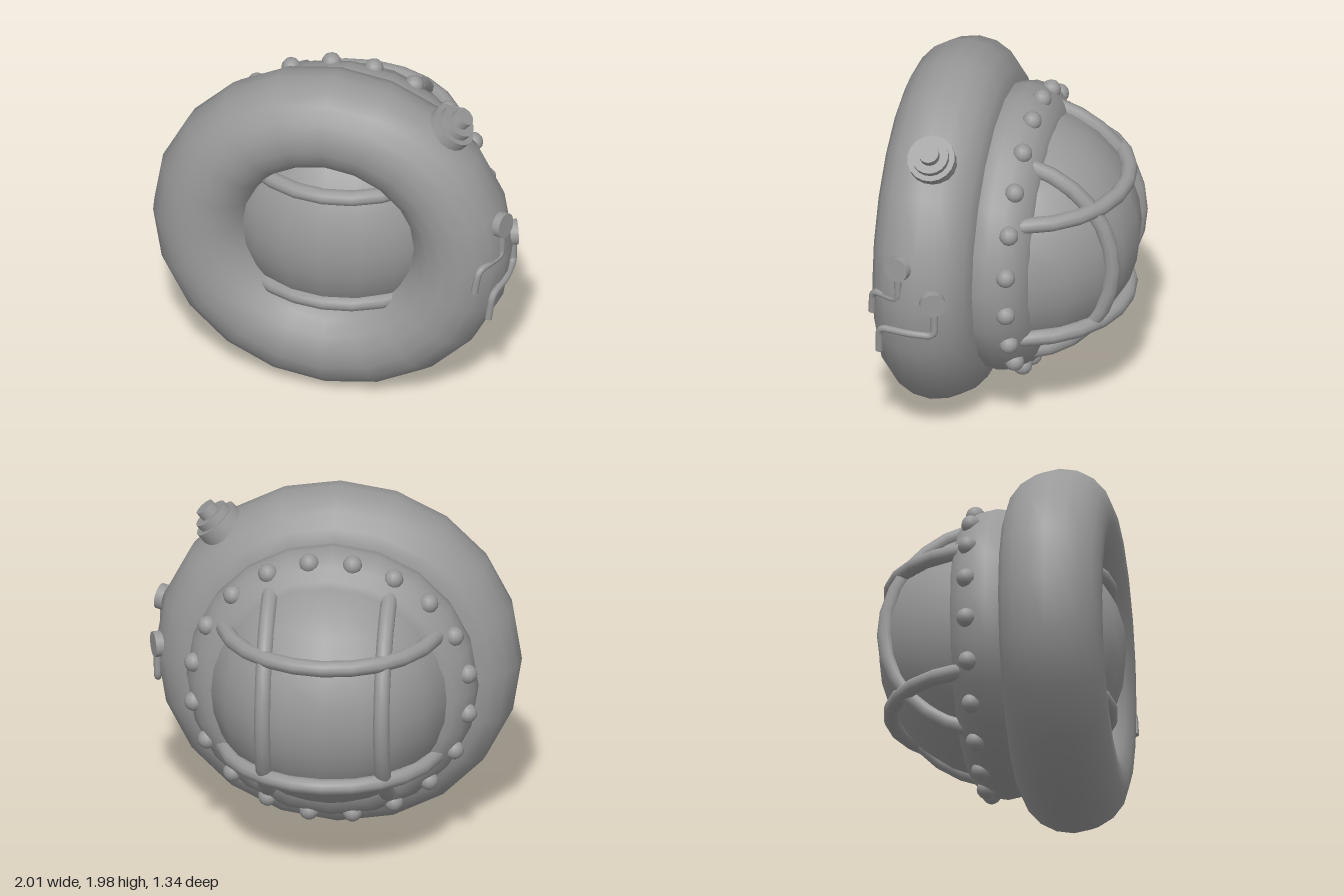
import * as THREE from 'three';

const CX = -0.005, CY = 0.997; // centre of the ring and ball

export function createModel() {
  const group = new THREE.Group();
  const grey = new THREE.MeshStandardMaterial({ color: 0x999999 });
  grey.name = 'plain grey';

  const add = (name, geometry, x, y, z) => {
    const mesh = new THREE.Mesh(geometry, grey);
    mesh.name = name;
    mesh.position.set(x, y, z);
    group.add(mesh);
    return mesh;
  };
  const UP = new THREE.Vector3(0, 1, 0);
  const aim = (mesh, x, y, z) =>
    mesh.quaternion.setFromUnitVectors(UP, new THREE.Vector3(x, y, z).normalize());

  // Large front ring, slightly deeper than it is thick
  add('frontRing', new THREE.TorusGeometry(0.72, 0.27, 18, 20), CX, CY, 0.348).scale.z = 1.045;

  // Ball seen through the ring, and the flange around it
  add('ball', new THREE.SphereGeometry(0.67, 20, 16), CX, CY, 0);
  add('flange', new THREE.TorusGeometry(0.57, 0.22, 18, 20), CX, CY, 0);

  // Rivets around the flange
  const rivet = new THREE.SphereGeometry(0.053, 12, 8);
  for (let i = 0; i < 20; i++) {
    const a = (i + 0.5) * Math.PI / 10;
    add('rivet', rivet, CX + 0.75 * Math.cos(a), CY + 0.75 * Math.sin(a), -0.105);
  }

  // Cage: full horizontal hoops and half hoops standing at the back
  for (const s of [-1, 1]) {
    add('horizontalHoop', new THREE.TorusGeometry(0.59, 0.045, 10, 24), CX, CY + s * 0.355, -0.012)
      .rotation.x = Math.PI / 2;
    add('verticalHoop', new THREE.TorusGeometry(0.598, 0.045, 10, 14, Math.PI), CX + s * 0.322, CY, 0)
      .rotation.set(-Math.PI / 2, -Math.PI / 2, 0, 'XYZ');
  }
  // Stand the half hoops in the yz plane, bulging towards -z
  const basis = new THREE.Matrix4().makeBasis(
    new THREE.Vector3(0, 1, 0), new THREE.Vector3(0, 0, -1), new THREE.Vector3(-1, 0, 0));
  group.children.filter(m => m.name === 'verticalHoop')
    .forEach(m => m.quaternion.setFromRotationMatrix(basis));

  // Stepped valve on the upper left of the ring
  const dx = 0.655, dy = 0.756;
  for (const [r, from, to] of [[0.13, 0.9, 1.02], [0.1, 1.0, 1.06], [0.055, 1.04, 1.11]]) {
    const mid = (from + to) / 2;
    aim(add('valveStep', new THREE.CylinderGeometry(r, r, to - from, 18),
      CX + dx * mid, CY + dy * mid, 0.325), dx, dy, 0);
  }

  // Round caps with bent pipes on the left side
  const cap = new THREE.CylinderGeometry(0.07, 0.07, 0.045, 18);
  aim(add('pipeCap', cap, 0.955, 1.228, 0.44), 0.94, 0.1, 0.34);
  aim(add('pipeCap', cap, 0.968, 1.04, 0.245), 0.94, 0, -0.34);

  const pipe = points => {
    // Straight runs joined by rounded corners
    const p = points.map(q => new THREE.Vector3(...q));
    const path = new THREE.CurvePath();
    let last = p[0];
    for (let i = 1; i < p.length - 1; i++) {
      const a = p[i].clone().add(p[i - 1].clone().sub(p[i]).setLength(0.045));
      const b = p[i].clone().add(p[i + 1].clone().sub(p[i]).setLength(0.045));
      path.add(new THREE.LineCurve3(last, a));
      path.add(new THREE.QuadraticBezierCurve3(a, p[i], b));
      last = b;
    }
    path.add(new THREE.LineCurve3(last, p[p.length - 1]));
    add('pipe', new THREE.TubeGeometry(path, 36, 0.02, 8), 0, 0, 0);
    for (const [at, other] of [[p[0], p[1]], [p[p.length - 1], p[p.length - 2]]]) {
      const d = at.clone().sub(other);
      aim(add('pipeEnd', new THREE.CylinderGeometry(0.02, 0.02, 0.004, 8), at.x, at.y, at.z), d.x, d.y, d.z);
    }
  };
  pipe([[0.955, 1.2, 0.44], [0.95, 1.025, 0.44], [0.86, 1.015, 0.6], [0.84, 0.875, 0.61]]);
  pipe([[0.968, 1.02, 0.235], [0.965, 0.835, 0.235], [0.965, 0.835, 0.38], [0.925, 0.83, 0.55], [0.905, 0.675, 0.555]]);

  return group;
}
